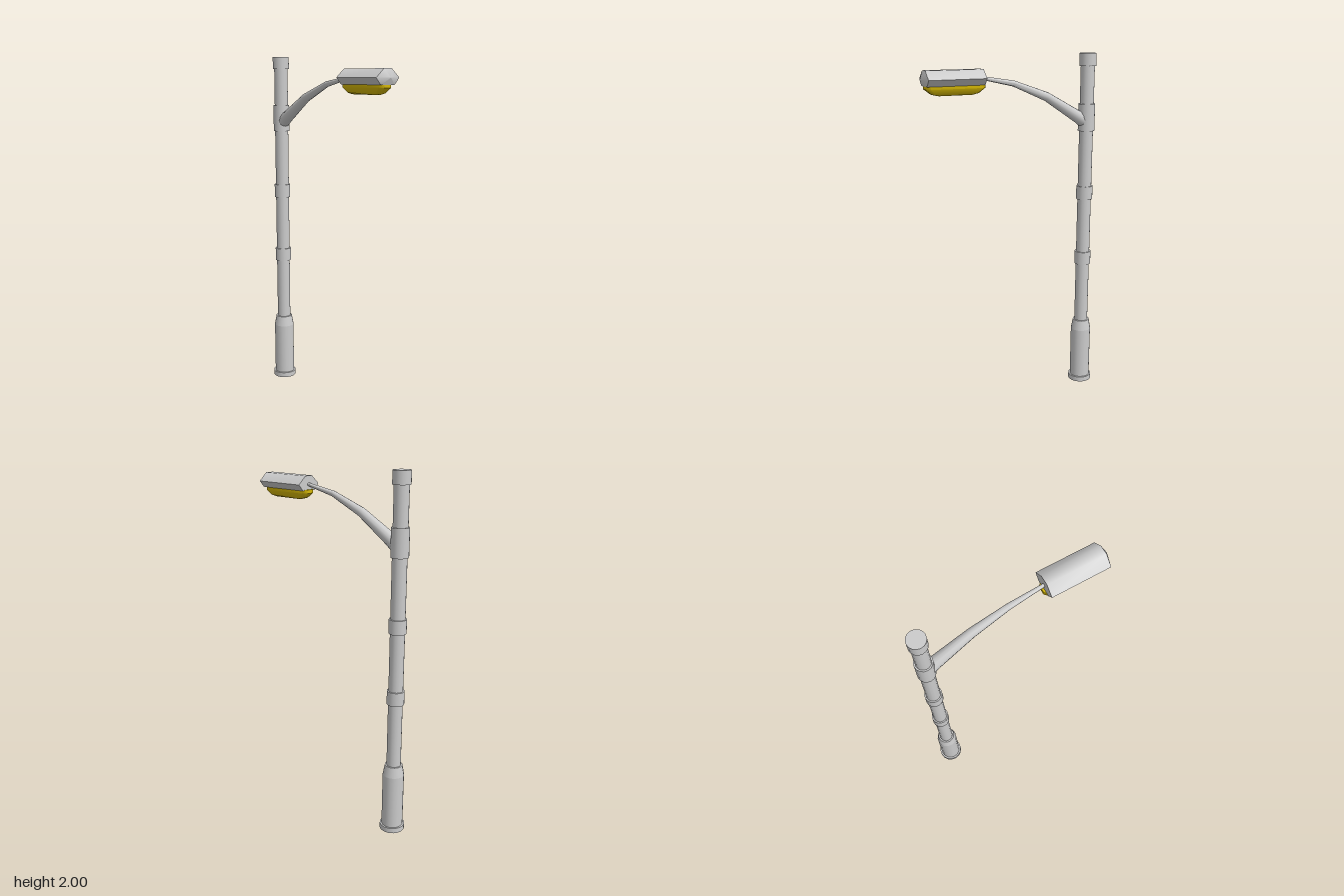
import * as THREE from 'three';
import { toCreasedNormals } from 'three/addons/utils/BufferGeometryUtils.js';

const grey = new THREE.MeshStandardMaterial({ color: 0xcccccc });
const yellow = new THREE.MeshStandardMaterial({ color: 0xd6b800 });
const POLE_X = -0.46;
const SIDES = 16;

// Skin through rings of [x, y, z] points, capped with a fan at each end.
function loft(rings, crease, startTip, endTip) {
  const n = rings[0].length;
  const centre = (ring) => [0, 1, 2].map((k) => ring.reduce((s, p) => s + p[k], 0) / n);
  const points = [...rings.flat(), startTip ?? centre(rings[0]), endTip ?? centre(rings.at(-1))];
  const start = points.length - 2, end = points.length - 1, last = (rings.length - 1) * n;
  const index = [];
  for (let j = 0; j < n; j++) {
    const k = (j + 1) % n;
    for (let i = 0; i < last; i += n) {
      index.push(i + j, i + k, i + n + j, i + k, i + n + k, i + n + j);
    }
    index.push(start, k, j, end, last + j, last + k);
  }
  const geometry = new THREE.BufferGeometry();
  geometry.setAttribute('position', new THREE.Float32BufferAttribute(points.flat(), 3));
  geometry.setIndex(index);
  return toCreasedNormals(geometry, crease);
}

export function createModel() {
  const group = new THREE.Group();
  const add = (name, geometry, material = grey) => {
    const mesh = new THREE.Mesh(geometry, material);
    mesh.name = name;
    group.add(mesh);
    return mesh;
  };
  const column = (name, y0, y1, r0, r1 = r0) =>
    add(name, new THREE.CylinderGeometry(r1, r0, y1 - y0, SIDES)).position.set(POLE_X, (y0 + y1) / 2, 0);

  // Pole with its foot, sleeve and collars
  column('foot', 0, 0.03, 0.07);
  column('baseSleeve', 0.03, 0.34, 0.06);
  column('baseTaper', 0.34, 0.4, 0.06, 0.049);
  column('pole', 0.4, 1.95, 0.04);
  column('lowerCollar', 0.765, 0.842, 0.048);
  column('middleCollar', 1.165, 1.243, 0.048);
  column('armCollar', 1.567, 1.72, 0.048);
  column('topCap', 1.93, 2, 0.048);

  // Arm: a bent, tapering tube; each station is x, y, radius
  const stations = [[-0.45, 1.615, 0.038], [-0.4, 1.65, 0.035], [-0.2, 1.77, 0.025],
    [0, 1.848, 0.016], [0.2, 1.886, 0.009]];
  const armRings = stations.map(([x, y, r], i) => {
    const a = stations[Math.max(i - 1, 0)], b = stations[Math.min(i + 1, stations.length - 1)];
    const slope = Math.atan2(b[1] - a[1], b[0] - a[0]);
    return Array.from({ length: 12 }, (_, j) => {
      const t = (j / 12) * Math.PI * 2, up = r * Math.cos(t);
      return [x - up * Math.sin(slope), y + up * Math.cos(slope), r * Math.sin(t)];
    });
  });
  add('arm', loft(armRings, 0.9));

  // Lamp housing: a six-sided prism with a pointed nose
  const section = [[1.93, 0.025], [1.885, 0.075], [1.85, 0.045],
    [1.85, -0.045], [1.885, -0.075], [1.93, -0.025]];
  const housingRings = [0.185, 0.505].map((x) => section.map(([y, z]) => [x, y, z]));
  add('lampHousing', loft(housingRings, 0.8, null, [0.528, 1.885, 0]));

  // Lens: a shallow bowl with cut corners; each level is y, half length, half width
  const levels = [[1.8, 0.1, 0.018], [1.808, 0.13, 0.03], [1.835, 0.165, 0.042], [1.855, 0.165, 0.042]];
  const lensRings = levels.map(([y, l, w]) => {
    const c = w * 0.5;
    return [[l, -w + c], [l - c, -w], [c - l, -w], [-l, c - w],
      [-l, w - c], [c - l, w], [l - c, w], [l, w - c]].map(([x, z]) => [0.339 + x, y, z]);
  });
  add('lens', loft(lensRings, 0.9), yellow);

  return group;
}
